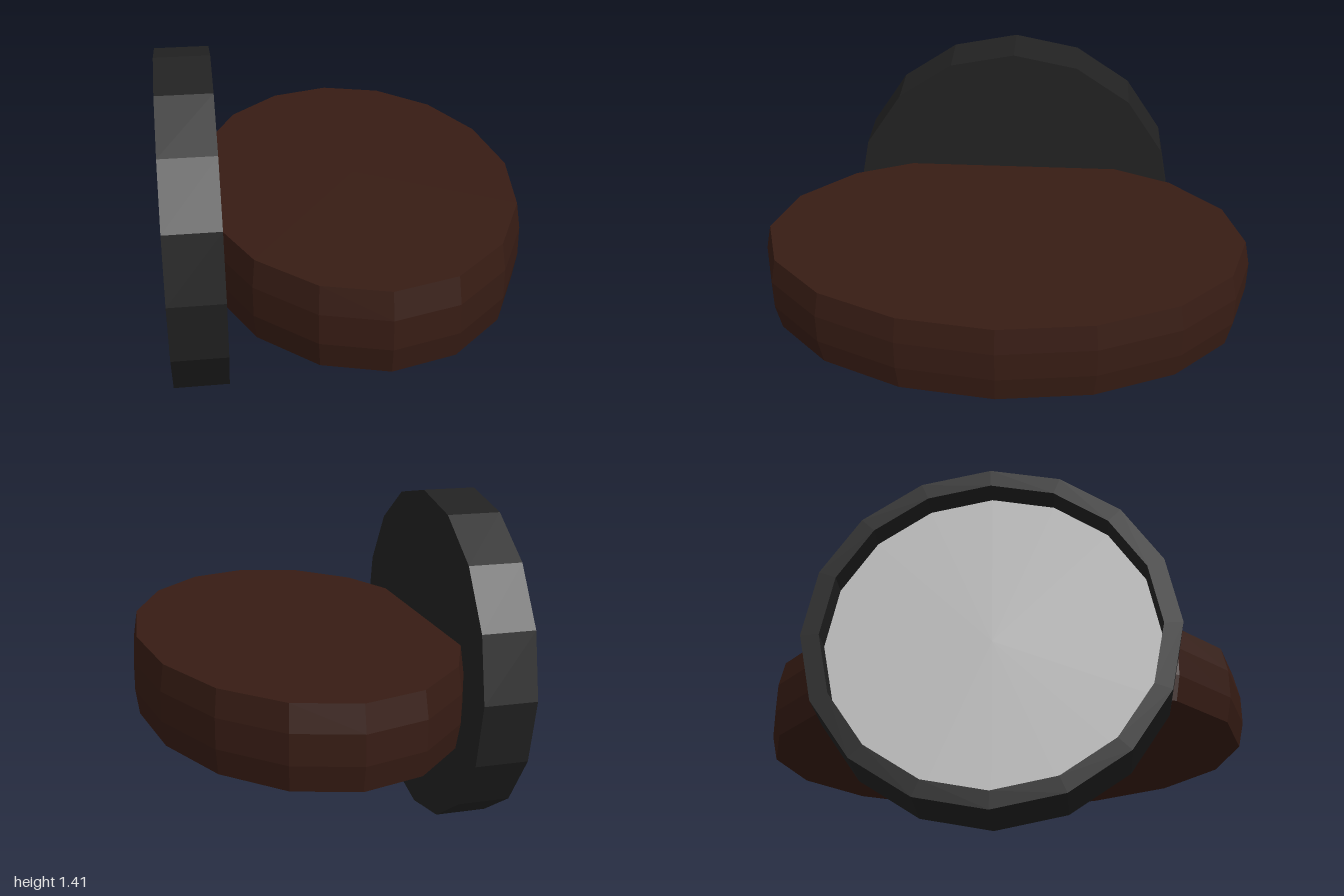
import * as THREE from 'three';

const SIDES = 16;
const CENTRE_Y = 0.705;

function material(color) {
  return new THREE.MeshStandardMaterial({ color, flatShading: true });
}

// Turned shape around y from [radius, height] pairs, listed bottom to top
function turned(name, profile, color) {
  const points = profile.map(([r, h]) => new THREE.Vector2(r, h));
  const mesh = new THREE.Mesh(new THREE.LatheGeometry(points, SIDES), material(color));
  mesh.name = name;
  return mesh;
}

export function createModel() {
  const group = new THREE.Group();
  group.name = 'knob';

  // Oval grip with softly bulged edge, partly sunk into the base
  const grip = turned('grip', [
    [0, -0.165], [0.977, -0.165], [1, -0.06], [1, 0.06], [0.977, 0.165], [0, 0.165],
  ], 0x371c14);
  grip.geometry.scale(0.665, 1, 1);
  grip.position.set(0.06, CENTRE_Y + 0.003, 0);
  group.add(grip);

  // Upright round base, hollowed on its outer side
  const base = turned('base', [
    [0, 0.505], [0.705, 0.505], [0.705, 0.727], [0.635, 0.727], [0.635, 0.63],
  ], 0x222222);
  base.geometry.rotateZ(Math.PI / 2);
  base.position.y = CENTRE_Y;
  group.add(base);

  // Grey plate closing the recess
  const plate = new THREE.Mesh(new THREE.CircleGeometry(0.635, SIDES), material(0xcccccc));
  plate.name = 'backPlate';
  plate.rotation.y = -Math.PI / 2;
  plate.position.set(-0.63, CENTRE_Y, 0);
  group.add(plate);

  return group;
}
